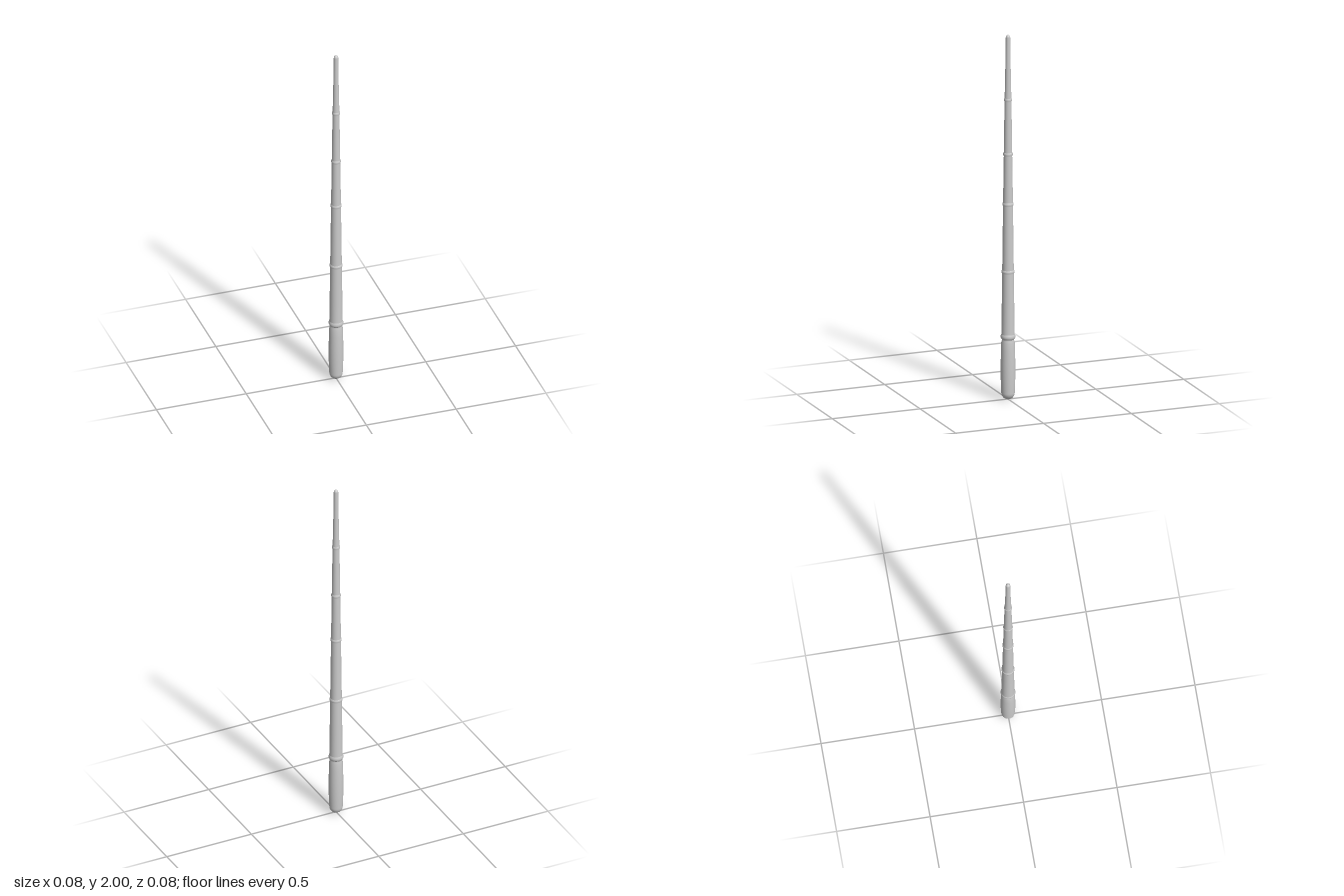
import * as THREE from 'three';

const material = new THREE.MeshStandardMaterial({ color: 0xcccccc, side: THREE.DoubleSide });

// Turned part from [radius, height] points, bottom to top
function turned(name, points) {
  const profile = points.map(([r, y]) => new THREE.Vector2(r, y));
  const mesh = new THREE.Mesh(new THREE.LatheGeometry(profile, 24), material);
  mesh.name = name;
  return mesh;
}

// Quarter-ellipse of profile points; dir -1 closes the bottom, +1 closes the top
function cap(radius, height, y, dir, steps = 6) {
  const points = [];
  for (let i = 0; i <= steps; i++) {
    const a = (i / steps) * Math.PI / 2;
    points.push([radius * Math.cos(a), y + dir * height * Math.sin(a)]);
  }
  return dir < 0 ? points.reverse() : points;
}

export function createModel() {
  const group = new THREE.Group();
  group.name = 'wand';

  // Grip with a rounded butt and a narrow neck
  group.add(turned('handle', [
    ...cap(0.036, 0.036, 0.036, -1),
    [0.039, 0.12], [0.039, 0.2], [0.0375, 0.27], [0.036, 0.312], [0.033, 0.322], [0.033, 0.33],
  ]));

  // Raised collar above the neck
  group.add(turned('collar', [
    [0.033, 0.33], [0.037, 0.335], [0.039, 0.341], [0.039, 0.348], [0.037, 0.354], [0.0355, 0.358],
  ]));

  // Tapering shaft sections, each ending in a small ring: [start y, start r, ring y, end r, ring r]
  const sections = [
    [0.358, 0.0355, 0.70, 0.031, 0.0345],
    [0.71, 0.031, 1.07, 0.0265, 0.0295],
    [1.08, 0.0265, 1.345, 0.0225, 0.0255],
    [1.355, 0.0225, 1.643, 0.0185, 0.021],
  ];
  sections.forEach(([y0, r0, y1, r1, ring], i) => {
    group.add(turned(`shaftSection${i + 1}`, [
      [r0, y0], [r1, y1 - 0.01], [ring, y1 - 0.004], [ring, y1 + 0.004], [r1, y1 + 0.01],
    ]));
  });

  // Slim end with a rounded point
  group.add(turned('tip', [[0.0185, 1.653], [0.016, 1.72], ...cap(0.012, 0.015, 1.985, 1)]));

  return group;
}
